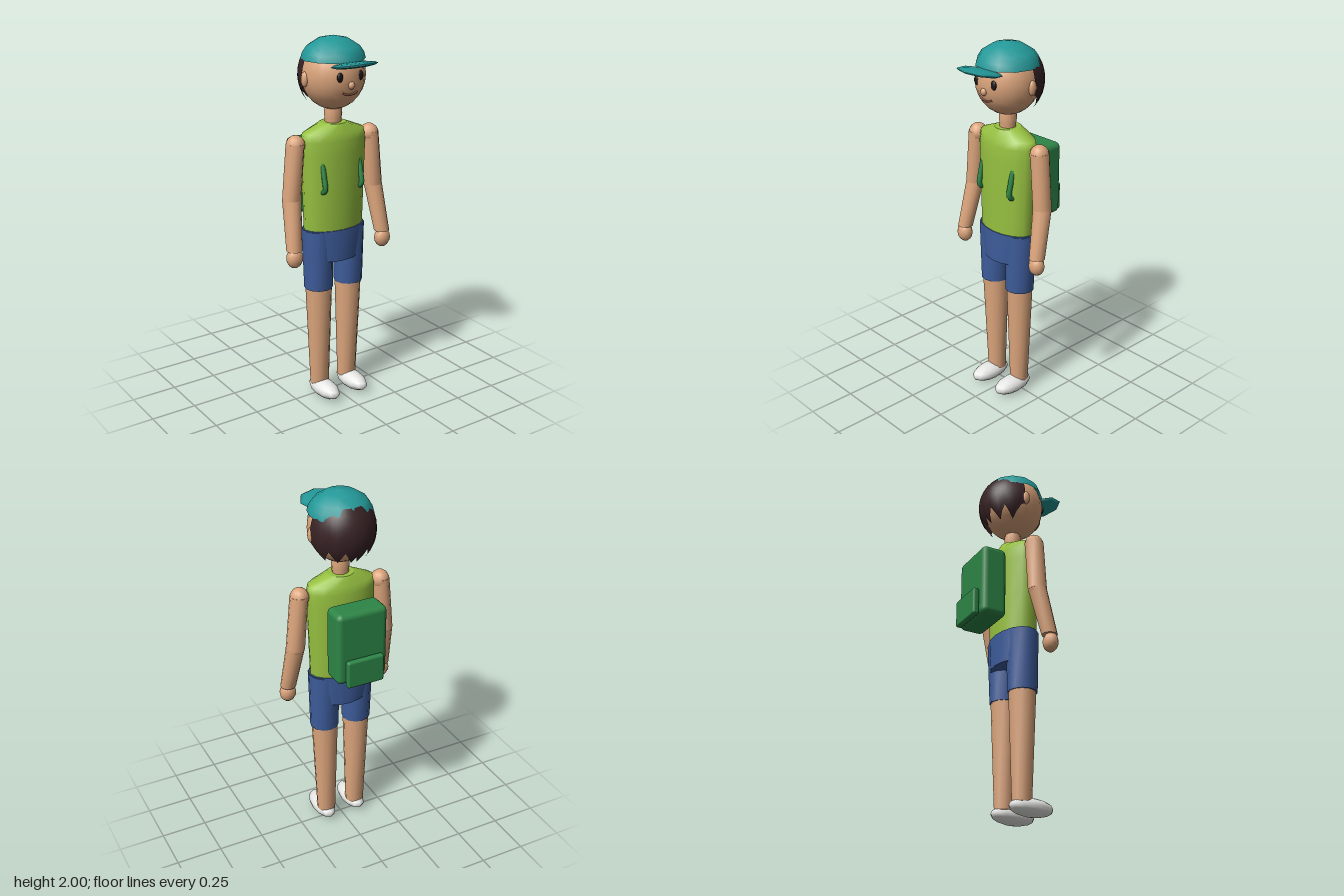
import * as THREE from 'three';
import { RoundedBoxGeometry } from 'three/addons/geometries/RoundedBoxGeometry.js';

const mat = (name, color, side = THREE.FrontSide) => {
  const m = new THREE.MeshStandardMaterial({ color, side });
  m.name = name;
  return m;
};

// Closed smooth tube through elliptical rings [y, rx, rz, cx, cz], bottom to top
function loft(rings, seg = 12) {
  const pos = [], idx = [];
  const addRing = ([y, rx, rz, cx = 0, cz = 0]) => {
    const start = pos.length / 3;
    for (let j = 0; j < seg; j++) {
      const a = (j / seg) * Math.PI * 2;
      pos.push(cx + rx * Math.sin(a), y, cz + rz * Math.cos(a));
    }
    return start;
  };
  const starts = rings.map(addRing);
  for (let i = 0; i < starts.length - 1; i++) {
    for (let j = 0; j < seg; j++) {
      const k = (j + 1) % seg, a = starts[i], b = starts[i + 1];
      idx.push(a + j, a + k, b + k, a + j, b + k, b + j);
    }
  }
  // End caps with their own corners so the rims stay sharp
  [rings[0], rings[rings.length - 1]].forEach((ring, end) => {
    const s = addRing(ring), c = pos.length / 3;
    pos.push(ring[3] || 0, ring[0], ring[4] || 0);
    for (let j = 0; j < seg; j++) {
      const k = (j + 1) % seg;
      idx.push(c, s + (end ? j : k), s + (end ? k : j));
    }
  });
  const g = new THREE.BufferGeometry();
  g.setAttribute('position', new THREE.Float32BufferAttribute(pos, 3));
  g.setIndex(idx);
  g.computeVertexNormals();
  return g;
}

// Back-of-head shell with a zigzag lower edge
function hairShell() {
  const cols = 24, rows = 8, pos = [], idx = [];
  for (let j = 0; j <= cols; j++) {
    const a = (j / cols - 0.5) * 2 * 1.47;
    const edge = Math.min(j, cols - j);
    const bottom = edge < 2 ? 1.755 - edge * 0.02 : [1.665, 1.70, 1.735, 1.70][(edge + 1) % 4];
    for (let i = 0; i <= rows; i++) {
      const y = 1.945 + (bottom - 1.945) * (i / rows);
      const k = Math.sqrt(1 - ((y - 1.8) / 0.2) ** 2);
      pos.push(0.177 * k * Math.sin(a), y, -0.197 * k * Math.cos(a));
    }
  }
  const n = rows + 1;
  for (let j = 0; j < cols; j++) {
    for (let i = 0; i < rows; i++) {
      const tr = j * n + i, tl = tr + n;
      idx.push(tl + 1, tr + 1, tr, tl + 1, tr, tl);
    }
  }
  const g = new THREE.BufferGeometry();
  g.setAttribute('position', new THREE.Float32BufferAttribute(pos, 3));
  g.setIndex(idx);
  g.computeVertexNormals();
  return g;
}

export function createModel() {
  const model = new THREE.Group();
  model.name = 'hiker';
  const skin = mat('skin', 0xdca57c);
  const shirt = mat('shirtGreen', 0x97c141);
  const denim = mat('shortsBlue', 0x3e5d9c);
  const pack = mat('packGreen', 0x2d8647);
  const teal = mat('capTeal', 0x249898, THREE.DoubleSide);
  const dark = mat('hairBrown', 0x382225, THREE.DoubleSide);
  const black = mat('eyeBlack', 0x1d1516);
  const brown = mat('mouthBrown', 0x8a5040);
  const white = mat('shoeWhite', 0xeeeeec);

  const add = (name, geometry, material, x = 0, y = 0, z = 0) => {
    const m = new THREE.Mesh(geometry, material);
    m.name = name;
    m.position.set(x, y, z);
    model.add(m);
    return m;
  };
  const ball = (name, material, p, r, w = 12, h = 8) => {
    const g = new THREE.SphereGeometry(1, w, h);
    const m = add(name, g, material, ...p);
    m.scale.set(...r);
    return m;
  };

  // Head and face
  ball('head', skin, [0, 1.805, 0], [0.168, 0.183, 0.168], 20, 14);
  ball('nose', skin, [0, 1.77, 0.163], [0.018, 0.02, 0.016]);
  const smile = [-0.045, -0.025, 0, 0.025, 0.045].map((x) => {
    const y = 1.72 + x * x * 6;
    const k = 1 - ((y - 1.805) / 0.183) ** 2 - (x / 0.168) ** 2;
    return new THREE.Vector3(x, y, 0.168 * Math.sqrt(k));
  });
  add('mouth', new THREE.TubeGeometry(new THREE.CatmullRomCurve3(smile), 12, 0.006, 6), brown);
  add('hair', hairShell(), dark);

  // Cap dome and visor
  const dome = [[0.167, 1.883], [0.158, 1.915], [0.136, 1.947], [0.078, 1.984], [0, 2]];
  add('capDome', new THREE.LatheGeometry(dome.map((p) => new THREE.Vector2(...p)), 12), teal);
  const visor = ball('capVisor', teal, [0, 1.876, 0.187], [0.128, 0.017, 0.108], 8, 6);
  visor.rotation.x = -0.2;

  // Neck, torso and hips
  add('neck', loft([[1.53, 0.042, 0.042], [1.575, 0.044, 0.044], [1.6, 0.048, 0.048], [1.65, 0.042, 0.042]]), skin);
  add('shirt', loft([
    [0.985, 0.175, 0.105], [1.2, 0.182, 0.107], [1.4, 0.19, 0.107],
    [1.47, 0.19, 0.102], [1.51, 0.182, 0.094], [1.555, 0.07, 0.07],
  ], 16), shirt);
  add('shortsHips', loft([[0.815, 0.15, 0.108], [0.9, 0.17, 0.11], [0.99, 0.184, 0.11]], 16), denim);

  // Backpack
  add('backpack', new RoundedBoxGeometry(0.284, 0.4, 0.142, 2, 0.03), pack, 0, 1.24, -0.184);
  add('backpackPocket', new RoundedBoxGeometry(0.208, 0.152, 0.036, 2, 0.012), pack, 0, 1.112, -0.275);

  for (const s of [1, -1]) {
    const side = s > 0 ? 'left' : 'right';

    // Face and cap details
    ball(side + 'Ear', skin, [s * 0.166, 1.79, -0.01], [0.018, 0.04, 0.023]);
    ball(side + 'Eye', black, [s * 0.062, 1.814, 0.153], [0.018, 0.025, 0.01]);
    ball(side + 'CapVent', black, [s * 0.123, 1.937, 0.046], [0.007, 0.007, 0.007], 6, 4);

    // Arm
    ball(side + 'Shoulder', skin, [s * 0.232, 1.46, 0], [0.05, 0.053, 0.052]);
    add(side + 'UpperArm', loft([[1.17, 0.05, 0.05, s * 0.26, 0.002], [1.47, 0.047, 0.052, s * 0.234, 0]]), skin);
    ball(side + 'Elbow', skin, [s * 0.26, 1.175, 0.002], [0.05, 0.05, 0.05]);
    add(side + 'Forearm', loft([[0.915, 0.042, 0.042, s * 0.283, 0.058], [1.175, 0.05, 0.05, s * 0.26, 0.002]]), skin);
    ball(side + 'Hand', skin, [s * 0.284, 0.875, 0.062], [0.046, 0.054, 0.04]);

    // Leg, shorts and shoe
    add(side + 'ShortsLeg', loft([[0.65, 0.078, 0.078, s * 0.097, 0.003], [0.985, 0.084, 0.088, s * 0.1, 0]]), denim);
    add(side + 'Leg', loft([[0.07, 0.052, 0.05, s * 0.091, 0], [0.68, 0.073, 0.073, s * 0.096, 0.002]]), skin);
    ball(side + 'Shoe', white, [s * 0.093, 0.052, 0.051], [0.06, 0.047, 0.126], 12, 8);

    // Shoulder strap showing on the chest
    const strap = [[1.36, 0.07], [1.29, 0.088], [1.22, 0.097], [1.2, 0.06]];
    const curve = new THREE.CatmullRomCurve3(strap.map(([y, z]) => new THREE.Vector3(s * 0.115, y, z)));
    add(side + 'Strap', new THREE.TubeGeometry(curve, 12, 0.014, 8), pack);
  }
  return model;
}
